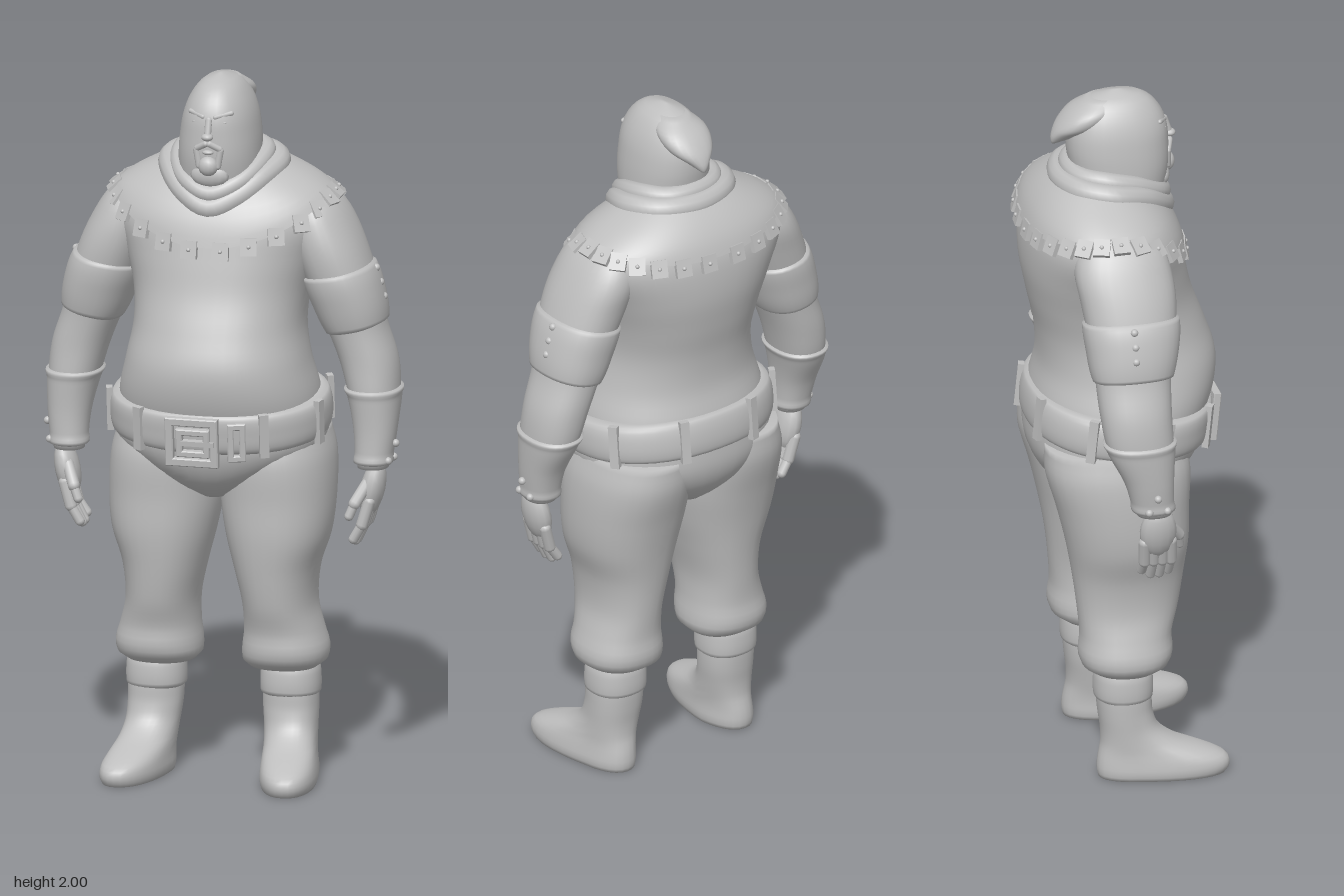
import * as THREE from 'three';

const grey = new THREE.MeshStandardMaterial({ color: 0xbfbfbf });
grey.name = 'grey clay';

// Cross-sections are [y, centre x, half width, front z, back z], listed upwards.
function sample(secs, y) {
  let i = 0;
  while (i < secs.length - 2 && y > secs[i + 1][0]) i++;
  const a = secs[i], b = secs[i + 1], p = secs[Math.max(i - 1, 0)], q = secs[Math.min(i + 2, secs.length - 1)];
  const h = b[0] - a[0], t = (y - a[0]) / h, t2 = t * t, t3 = t2 * t;
  return a.map((v, k) => {
    if (k === 0) return y;
    const m0 = (b[k] - p[k]) / (b[0] - p[0]) * h, m1 = (q[k] - v) / (q[0] - a[0]) * h;
    return (2 * t3 - 3 * t2 + 1) * v + (t3 - 2 * t2 + t) * m0 + (3 * t2 - 2 * t3) * b[k] + (t3 - t2) * m1;
  });
}

function pointOn(secs, y, a, out = 0) {
  const [, cx, rx, zf, zb] = sample(secs, y);
  const round = (v) => Math.sign(v) * Math.abs(v) ** 0.9;
  return new THREE.Vector3(cx + (rx + out) * round(Math.sin(a)), y,
    (zf + zb) / 2 + ((zf - zb) / 2 + out) * round(Math.cos(a)));
}

function normalOn(secs, y, a) {
  const across = pointOn(secs, y, a + 0.05).sub(pointOn(secs, y, a - 0.05));
  const up = pointOn(secs, y + 0.01, a).sub(pointOn(secs, y - 0.01, a));
  return across.cross(up).normalize();
}

// Smooth closed-round surface from fn(row 0..1, angle), with optional end caps
function skin(rows, cols, fn, caps = true) {
  const pos = [], index = [];
  for (let i = 0; i <= rows; i++)
    for (let j = 0; j < cols; j++) pos.push(...fn(i / rows, j / cols * Math.PI * 2).toArray());
  for (let i = 0; i < rows; i++)
    for (let j = 0; j < cols; j++) {
      const k = (j + 1) % cols, a = i * cols + j, b = i * cols + k;
      index.push(a, b, b + cols, a, b + cols, a + cols);
    }
  if (caps) for (const row of [0, rows]) {
    const c = new THREE.Vector3(), n = pos.length / 3;
    for (let j = 0; j < cols; j++) c.add(new THREE.Vector3().fromArray(pos, (row * cols + j) * 3));
    pos.push(...c.divideScalar(cols).toArray());
    for (let j = 0; j < cols; j++) {
      const a = row * cols + j, b = row * cols + (j + 1) % cols;
      index.push(...(row ? [a, b, n] : [b, a, n]));
    }
  }
  const g = new THREE.BufferGeometry();
  g.setAttribute('position', new THREE.Float32BufferAttribute(pos, 3));
  g.setIndex(index);
  g.computeVertexNormals();
  return g;
}

const loft = (secs, cols = 32) => {
  const y0 = secs[0][0], y1 = secs[secs.length - 1][0];
  return skin((secs.length - 1) * 4, cols, (t, a) => pointOn(secs, y0 + (y1 - y0) * t, a));
};

const TORSO = [[0.98, 0, 0.28, 0.2, -0.25], [1.1, 0, 0.278, 0.252, -0.25], [1.2, 0, 0.255, 0.265, -0.23],
  [1.3, 0, 0.238, 0.235, -0.235], [1.4, 0, 0.248, 0.198, -0.257], [1.5, 0, 0.28, 0.175, -0.274],
  [1.6, 0, 0.32, 0.15, -0.272], [1.66, 0, 0.305, 0.118, -0.255], [1.7, 0, 0.255, 0.085, -0.232],
  [1.74, 0, 0.18, 0.045, -0.195], [1.78, 0, 0.1, 0.02, -0.14]];
const PELVIS = [[0.81, 0, 0.05, 0.1, -0.15], [0.85, 0, 0.14, 0.158, -0.2], [0.9, 0, 0.23, 0.195, -0.24],
  [0.96, 0, 0.29, 0.215, -0.26], [1.04, 0, 0.295, 0.22, -0.26]];
const HEAD = [[1.6, 0, 0.1, 0.09, -0.1], [1.66, 0, 0.108, 0.11, -0.12], [1.72, 0, 0.112, 0.128, -0.135],
  [1.78, 0, 0.113, 0.138, -0.14], [1.84, 0, 0.109, 0.138, -0.148], [1.9, 0, 0.098, 0.132, -0.145],
  [1.95, 0, 0.076, 0.108, -0.125], [1.985, 0, 0.045, 0.065, -0.08], [2, 0, 0.005, 0.005, -0.02]];
const PEAK = [[1.855, 0, 0.006, -0.178, -0.192], [1.875, 0, 0.028, -0.12, -0.194], [1.91, 0, 0.066, -0.06, -0.178],
  [1.95, 0, 0.072, -0.02, -0.142], [1.985, 0, 0.04, 0.02, -0.09]];
const ARM = [[0.9, 0.435, 0.042, 0.042, -0.055], [1, 0.438, 0.057, 0.046, -0.088], [1.1, 0.43, 0.07, 0.05, -0.135],
  [1.2, 0.411, 0.08, 0.048, -0.152], [1.3, 0.375, 0.084, 0.055, -0.158], [1.4, 0.344, 0.094, 0.074, -0.168],
  [1.5, 0.308, 0.098, 0.085, -0.182], [1.58, 0.277, 0.092, 0.078, -0.192], [1.64, 0.255, 0.075, 0.055, -0.175],
  [1.68, 0.24, 0.045, 0, -0.13], [1.695, 0.24, 0.01, -0.05, -0.07]];
const LEG = [[0.315, 0.175, 0.095, 0.065, -0.12], [0.33, 0.178, 0.115, 0.09, -0.145], [0.37, 0.181, 0.12, 0.105, -0.157],
  [0.42, 0.177, 0.11, 0.103, -0.152], [0.5, 0.167, 0.101, 0.125, -0.158], [0.6, 0.16, 0.116, 0.142, -0.17],
  [0.7, 0.163, 0.144, 0.154, -0.188], [0.8, 0.16, 0.157, 0.156, -0.212], [0.92, 0.157, 0.155, 0.16, -0.245],
  [1, 0.15, 0.14, 0.14, -0.245]];
const BOOT = [[0, 0.205, 0.076, 0.245, -0.108], [0.02, 0.205, 0.081, 0.256, -0.112], [0.05, 0.204, 0.079, 0.245, -0.11],
  [0.075, 0.202, 0.076, 0.19, -0.105], [0.1, 0.2, 0.074, 0.12, -0.1], [0.14, 0.197, 0.074, 0.065, -0.1],
  [0.19, 0.194, 0.077, 0.045, -0.106], [0.24, 0.193, 0.078, 0.042, -0.11], [0.34, 0.192, 0.074, 0.035, -0.11]];
const BOOT_CUFF = [[0.232, 0.192, 0.074, 0.035, -0.105], [0.24, 0.192, 0.083, 0.046, -0.116],
  [0.3, 0.192, 0.083, 0.046, -0.117], [0.33, 0.191, 0.076, 0.036, -0.11]];
const BELT = [[0.985, 0, 0.285, 0.225, -0.25], [0.995, 0, 0.302, 0.243, -0.263], [1.045, 0, 0.309, 0.25, -0.27],
  [1.095, 0, 0.3, 0.248, -0.263], [1.105, 0, 0.28, 0.235, -0.25]];

export function createModel() {
  const model = new THREE.Group();
  const add = (name, geo, parent = model) => {
    const m = new THREE.Mesh(geo, grey);
    m.name = name;
    parent.add(m);
    return m;
  };
  const ball = (name, x, y, z, sx, sy = sx, sz = sx) => {
    const m = add(name, new THREE.SphereGeometry(1, 14, 10));
    m.position.set(x, y, z);
    m.scale.set(sx, sy, sz);
    return m;
  };
  const limb = (name, a, b, r) => {
    const p = new THREE.Vector3(...a), q = new THREE.Vector3(...b), d = q.clone().sub(p);
    const m = add(name, new THREE.CapsuleGeometry(r, d.length(), 4, 10));
    m.position.copy(p).lerp(q, 0.5);
    m.quaternion.setFromUnitVectors(new THREE.Vector3(0, 1, 0), d.normalize());
  };
  // Closed roll of cloth through the left half of its path, mirrored
  const roll = (name, half, r) => {
    const back = half.slice(1, -1).reverse().map(([x, y, z]) => [-x, y, z]);
    const path = new THREE.CatmullRomCurve3([...half, ...back].map((p) => new THREE.Vector3(...p)), true);
    add(name, new THREE.TubeGeometry(path, 56, r, 12, true));
  };

  // Body
  add('tunic', loft(TORSO, 48));
  add('trouserSeat', loft(PELVIS, 40));

  // Shoulder yoke with a notched hem
  const hem = (a) => 1.675 - (Math.cos(a) > 0 ? 0.135 : 0.045) * Math.cos(a) ** 2;
  add('yoke', skin(8, 64, (t, a) => pointOn(TORSO, hem(a) + (1.75 - hem(a)) * t, a, 0.01), false));
  for (let i = 0; i < 26; i++) {
    const a = (i + 0.5) / 26 * Math.PI * 2, y = hem(a) - 0.01;
    const n = normalOn(TORSO, y, a), p = pointOn(TORSO, y, a, 0.007);
    n.y += 0.4 * Math.sin(a) ** 2;
    n.normalize();
    const tab = add('yokeTab', new THREE.BoxGeometry(0.046, 0.05, 0.014));
    tab.position.copy(p);
    tab.lookAt(p.clone().add(n));
    ball('yokeStud', ...p.addScaledVector(n, 0.007).toArray(), 0.006);
  }

  // Head, hood and draped cowl
  add('head', loft(HEAD));
  add('hoodPeak', loft(PEAK, 24));
  roll('cowlLower', [[0, 1.642, 0.122], [0.07, 1.672, 0.098], [0.125, 1.715, 0.04], [0.152, 1.742, -0.05],
    [0.11, 1.75, -0.13], [0, 1.75, -0.165]], 0.034);
  roll('cowlUpper', [[0, 1.682, 0.118], [0.07, 1.71, 0.092], [0.112, 1.75, 0.02], [0.115, 1.772, -0.06],
    [0.075, 1.775, -0.12], [0, 1.778, -0.14]], 0.028);
  limb('nose', [0, 1.895, 0.13], [0, 1.858, 0.142], 0.01);
  ball('noseTip', 0, 1.85, 0.146, 0.017, 0.011, 0.016);
  ball('lowerLip', 0, 1.805, 0.14, 0.016, 0.007, 0.01);
  ball('goatee', 0, 1.765, 0.137, 0.028, 0.028, 0.022);
  ball('chin', 0, 1.735, 0.118, 0.055, 0.035, 0.024);
  for (const s of [-1, 1]) {
    ball('eye', s * 0.038, 1.888, 0.116, 0.013, 0.006, 0.01);
    limb('brow', [s * 0.018, 1.903, 0.126], [s * 0.058, 1.912, 0.103], 0.007);
    limb('moustache', [s * 0.006, 1.83, 0.144], [s * 0.032, 1.815, 0.134], 0.009);
    limb('beardSide', [s * 0.034, 1.81, 0.132], [s * 0.026, 1.765, 0.133], 0.01);
  }

  // Belt, lower at the front, tilted about its own middle
  const belt = new THREE.Group();
  belt.name = 'belt';
  belt.rotation.x = 0.1;
  belt.position.set(0, 1.045 * (1 - Math.cos(0.1)), -1.045 * Math.sin(0.1));
  model.add(belt);
  add('strap', loft(BELT, 48), belt);
  for (const d of [33, 75, 118, 160, 200, 242, 285, 327]) {
    const a = d * Math.PI / 180, p = pointOn(BELT, 1.045, a), n = normalOn(BELT, 1.045, a);
    const loop = add('beltLoop', new THREE.BoxGeometry(0.026, 0.125, 0.018), belt);
    loop.position.copy(p);
    loop.rotation.y = Math.atan2(n.x, n.z);
  }
  const frame = (name, x, z, w, h, t, turn = 0) => {
    const s = new THREE.Shape([[-w, -h], [w, -h], [w, h], [-w, h]].map(([u, v]) => new THREE.Vector2(u / 2, v / 2)));
    s.holes.push(new THREE.Path([[-1, -1], [-1, 1], [1, 1], [1, -1]]
      .map(([u, v]) => new THREE.Vector2(u * (w / 2 - t), v * (h / 2 - t)))));
    const m = add(name, new THREE.ExtrudeGeometry(s, { depth: 0.016, bevelSize: 0.003, bevelThickness: 0.003, bevelSegments: 1 }), belt);
    m.position.set(x, 1.03, z);
    m.rotation.y = turn;
  };
  frame('buckle', -0.015, 0.25, 0.145, 0.135, 0.017);
  frame('innerBuckle', -0.01, 0.256, 0.09, 0.075, 0.012);
  frame('strapKeeper', 0.105, 0.23, 0.045, 0.105, 0.012, 0.3);
  add('buckleTongue', new THREE.BoxGeometry(0.1, 0.014, 0.02), belt).position.set(0, 1.03, 0.265);

  for (const s of [1, -1]) {
    const side = (secs) => secs.map(([y, x, ...rest]) => [y, x * s, ...rest]);
    const arm = side(ARM);
    // Sleeve band following the arm: [height, thickness] profile, rising outwards by slope
    const band = (name, prof, slope) => {
      const shape = prof.map(([y, d]) => [y, d, 0, 0, 0]);
      const y0 = prof[0][0], h = prof[prof.length - 1][0] - y0;
      add(name, skin(prof.length * 4, 32, (t, a) => {
        const y = y0 + h * t;
        return pointOn(arm, y + slope * Math.sin(a) * s, a, sample(shape, y)[1]);
      }));
    };
    add('arm', loft(arm));
    band('armBand', [[1.285, -0.01], [1.292, 0.007], [1.375, 0.013], [1.45, 0.007], [1.457, -0.01]], 0.02);
    band('bracer', [[0.907, -0.01], [0.912, 0.009], [0.94, 0.005], [1.02, 0.002], [1.1, 0.004], [1.12, 0.008], [1.128, -0.01]], 0);
    for (const [y, a] of [[1.455, 1.65], [1.415, 1.65], [1.375, 1.65], [0.97, 1.5], [0.925, 1.1], [0.925, 1.9]]) {
      const p = pointOn(arm, y, s * a, 0.008);
      ball('stud', p.x, p.y, p.z, 0.011);
    }

    // Hand
    ball('palm', s * 0.437, 0.842, 0.005, 0.034, 0.082, 0.052).rotation.z = -s * 0.2;
    for (let i = 0; i < 4; i++) {
      const z = -0.033 + i * 0.025, len = [0.015, 0, 0, 0.008][i];
      limb('finger', [s * 0.436, 0.81, z], [s * 0.417, 0.745, z + 0.004], 0.017);
      limb('fingertip', [s * 0.417, 0.745, z + 0.004], [s * 0.392, 0.694 + len, z + 0.002], 0.014);
    }
    limb('thumb', [s * 0.428, 0.86, 0.035], [s * 0.402, 0.81, 0.072], 0.017);
    limb('thumbTip', [s * 0.402, 0.81, 0.072], [s * 0.388, 0.775, 0.078], 0.013);

    // Legs and boots, toes turned slightly out
    add('trouserLeg', loft(side(LEG)));
    add('bootCuff', loft(side(BOOT_CUFF)));
    const boot = loft(side(BOOT)), p = boot.attributes.position;
    for (let i = 0; i < p.count; i++) p.setX(i, p.getX(i) + s * 0.14 * Math.max(p.getZ(i), 0));
    boot.computeVertexNormals();
    add('boot', boot);
  }
  return model;
}
